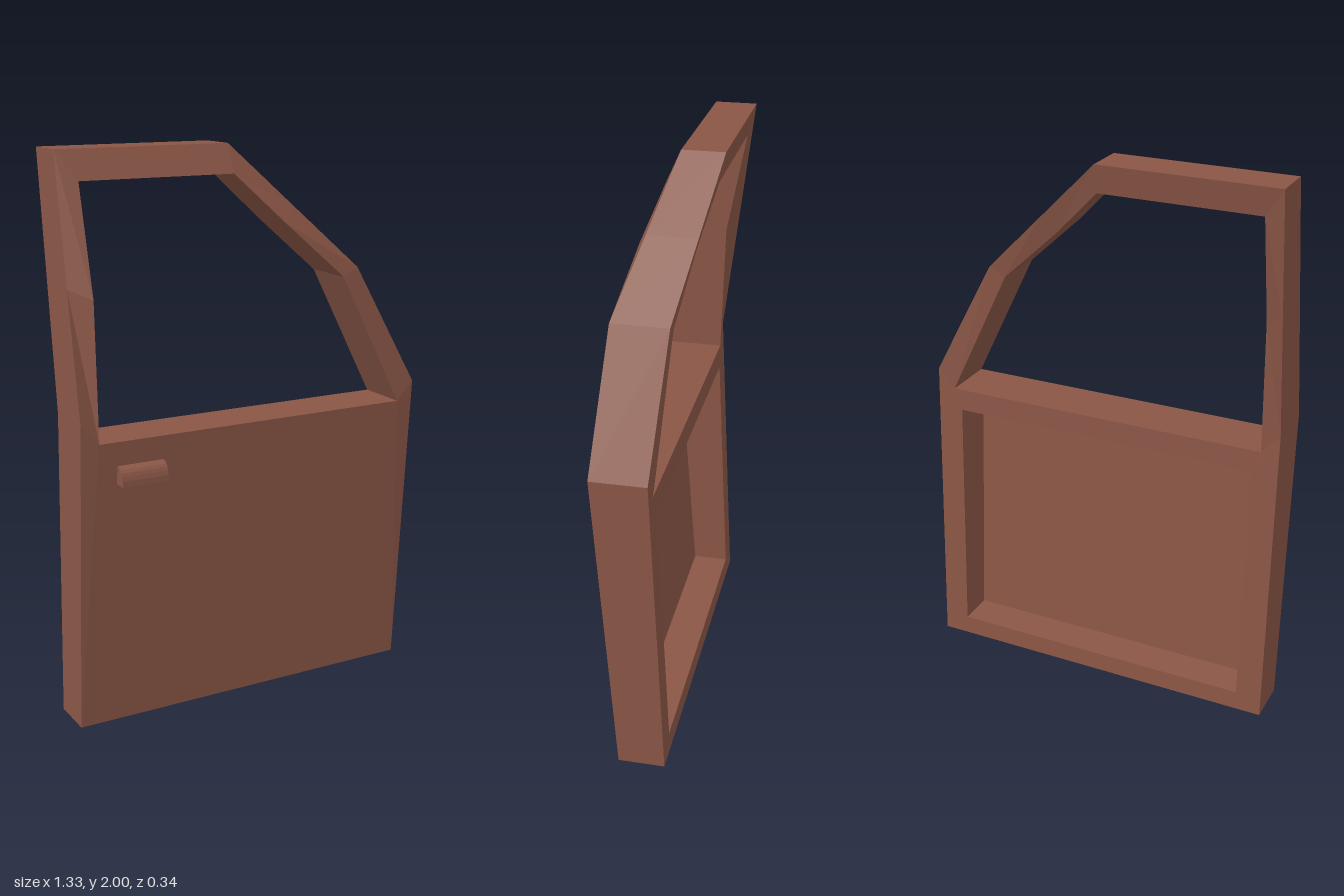
import * as THREE from 'three';

const paint = new THREE.MeshStandardMaterial({ color: 0x8a5646, flatShading: true });

// A station on the door outline: position plus front and back depth
const station = (x, y, f, b) => ({ x, y, f, b });
const front = p => [p.x, p.y, p.f];
const back = p => [p.x, p.y, p.b];

// Flat-shaded mesh from convex polygons, each fanned into triangles
function faces(name, polygons) {
  const pos = [];
  for (const p of polygons)
    for (let i = 1; i < p.length - 1; i++) pos.push(...p[0], ...p[i], ...p[i + 1]);
  const geo = new THREE.BufferGeometry();
  geo.setAttribute('position', new THREE.Float32BufferAttribute(pos, 3));
  geo.computeVertexNormals();
  const mesh = new THREE.Mesh(geo, paint);
  mesh.name = name;
  return mesh;
}

// Walls joining front and back along a closed loop
const walls = (loop, inward) => loop.map((a, i) => {
  const b = loop[(i + 1) % loop.length];
  const quad = [front(a), back(a), back(b), front(b)];
  return inward ? quad.reverse() : quad;
});

export function createModel() {
  const group = new THREE.Group();

  // Outline of the lower corners and the window frame, counterclockwise
  const b0 = station(-0.665, 0, 0.055, -0.11);
  const b1 = station(0.665, 0, 0.055, -0.11);
  const outer = [
    station(-0.665, 1.12, 0.135, -0.06),
    station(0.665, 1.12, 0.135, -0.06),
    station(0.42, 1.56, 0.118, -0.08),
    station(0.195, 1.78, 0.049, -0.125),
    station(-0.03, 2, -0.02, -0.17),
    station(-0.665, 2, -0.02, -0.17),
    station(-0.665, 1.56, 0.058, -0.115),
  ];
  // Window opening, matched point for point with the outline
  const inner = [
    station(-0.6, 1.05, 0.135, -0.062),
    station(0.6, 1.05, 0.135, -0.062),
    station(0.36, 1.53, 0.12, -0.078),
    station(0.14, 1.73, 0.083, -0.11),
    station(-0.03, 1.9, 0.025, -0.15),
    station(-0.6, 1.9, 0.025, -0.15),
    station(-0.6, 1.53, 0.12, -0.078),
  ];
  // Recess in the back of the lower door; its floor follows the front skin
  const recess = [[-0.57, 0.07], [0.57, 0.07], [0.57, 0.97], [-0.57, 0.97]].map(
    ([x, y]) => station(x, y, 0.02 + 0.074 * y, -0.11 + 0.0455 * y));

  // Window frame strips, without the sill
  const frame = [];
  for (let i = 1; i < outer.length; i++) {
    const j = (i + 1) % outer.length;
    frame.push([outer[i], outer[j], inner[j], inner[i]]);
  }

  // Front skin
  const [o0, o1] = outer, [i0, i1] = inner, [r0, r1, r2, r3] = recess;
  const lowerFront = [[b0, b1, i1, i0], [b1, o1, i1], [b0, i0, o0]];
  group.add(faces('frontSkin', [...frame, ...lowerFront].map(p => p.map(front))));

  // Back frame around the recess
  const lowerBack = [
    [b0, b1, r1, r0], [b1, o1, r2, r1], [o1, i1, r2],
    [i1, i0, r3, r2], [i0, o0, r3], [o0, b0, r0, r3],
  ];
  group.add(faces('backFrame', [...frame, ...lowerBack].map(p => p.map(back).reverse())));

  // Edges, window reveal and recessed panel
  group.add(faces('outerEdge', walls([b0, b1, ...outer.slice(1), o0], false)));
  group.add(faces('windowReveal', walls(inner, true)));
  group.add(faces('recessedPanel', [...walls(recess, true), recess.map(front).reverse()]));

  // Handle: rounded profile in z and y, extruded across x
  const profile = new THREE.Shape();
  profile.moveTo(0.11, 0.9);
  profile.lineTo(0.17, 0.9);
  profile.lineTo(0.17, 0.92);
  profile.quadraticCurveTo(0.165, 0.962, 0.135, 0.965);
  profile.lineTo(0.11, 0.965);
  const handleGeo = new THREE.ExtrudeGeometry(profile, { depth: 0.17, bevelEnabled: false, curveSegments: 5 });
  handleGeo.rotateY(-Math.PI / 2);
  const handle = new THREE.Mesh(handleGeo, paint);
  handle.name = 'handle';
  handle.position.x = -0.365;
  group.add(handle);

  return group;
}
